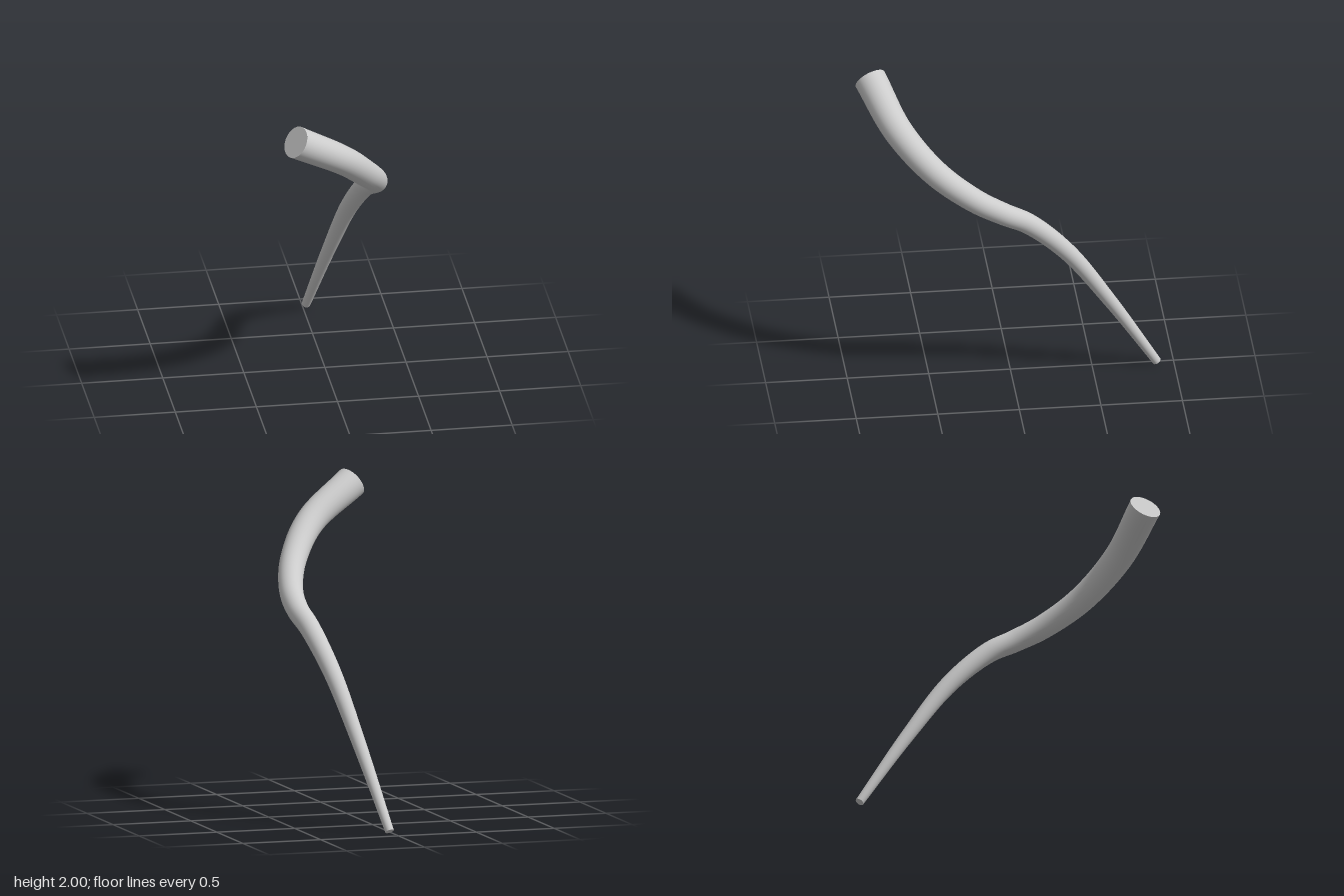
import * as THREE from 'three';

const SIDES = 32;
const STEPS = 96;
const THICK = 0.1;
const THIN = 0.027;

// Centreline from the thick upper end to the thin foot
const path = new THREE.CatmullRomCurve3([
  [-0.307, 1.914, 0.825],
  [0, 1.71, 0.685],
  [0.18, 1.51, 0.48],
  [0.272, 1.355, 0.25],
  [0.29, 1.26, 0.075],
  [0.262, 1.164, -0.085],
  [0.197, 0.913, -0.33],
  [0.115, 0.508, -0.6],
  [0.022, 0.016, -0.895],
].map((p) => new THREE.Vector3(...p)), false, 'centripetal');

// Tube whose radius shrinks evenly along its length
function taperedTube() {
  const geometry = new THREE.TubeGeometry(path, STEPS, 1, SIDES, false);
  const position = geometry.attributes.position;
  const point = new THREE.Vector3();
  for (let i = 0; i <= STEPS; i++) {
    const t = i / STEPS;
    const centre = path.getPointAt(t);
    const radius = THREE.MathUtils.lerp(THICK, THIN, t);
    for (let j = 0; j <= SIDES; j++) {
      const k = i * (SIDES + 1) + j;
      point.fromBufferAttribute(position, k).sub(centre).multiplyScalar(radius).add(centre);
      position.setXYZ(k, point.x, point.y, point.z);
    }
  }
  return geometry;
}

export function createModel() {
  const group = new THREE.Group();
  group.name = 'curvedHorn';
  const material = new THREE.MeshStandardMaterial({ color: 0xcccccc });

  const shaft = new THREE.Mesh(taperedTube(), material);
  shaft.name = 'shaft';
  group.add(shaft);

  // Flat discs closing both ends
  for (const [name, t, radius, sign] of [['upperCap', 0, THICK, -1], ['footCap', 1, THIN, 1]]) {
    const cap = new THREE.Mesh(new THREE.CircleGeometry(radius, SIDES), material);
    const outward = path.getTangentAt(t).multiplyScalar(sign);
    cap.name = name;
    cap.position.copy(path.getPointAt(t));
    cap.quaternion.setFromUnitVectors(new THREE.Vector3(0, 0, 1), outward);
    group.add(cap);
  }
  return group;
}
